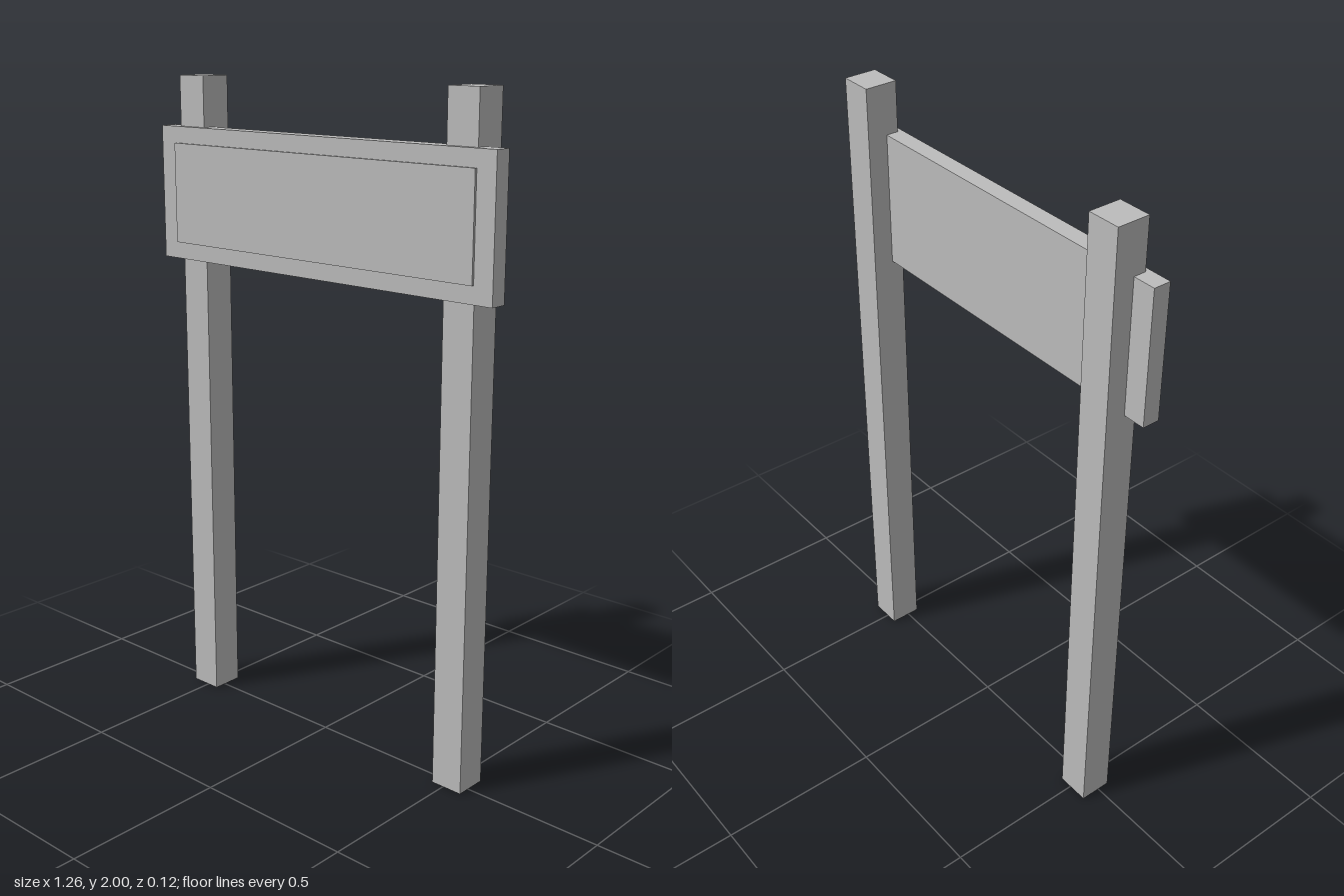
import * as THREE from 'three';

export function createModel() {
  const group = new THREE.Group();
  const grey = new THREE.MeshStandardMaterial({ color: 0xbcbcbc });
  grey.name = 'plain grey';

  // Box given by its minimum and maximum corners
  function box(name, min, max) {
    const size = max.map((v, i) => v - min[i]);
    const mesh = new THREE.Mesh(new THREE.BoxGeometry(...size), grey);
    mesh.position.set(...max.map((v, i) => (v + min[i]) / 2));
    mesh.name = name;
    group.add(mesh);
  }

  // Two square posts, standing slightly behind the board
  box('leftPost', [0.46, 0, -0.062], [0.562, 2, 0.038]);
  box('rightPost', [-0.562, 0, -0.062], [-0.46, 2, 0.038]);

  // Sign board, notched over the posts
  box('board', [-0.632, 1.443, 0], [0.632, 1.848, 0.053]);

  // Thin raised panel on the board's front
  box('facePanel', [-0.57, 1.494, 0.053], [0.57, 1.798, 0.06]);

  return group;
}
